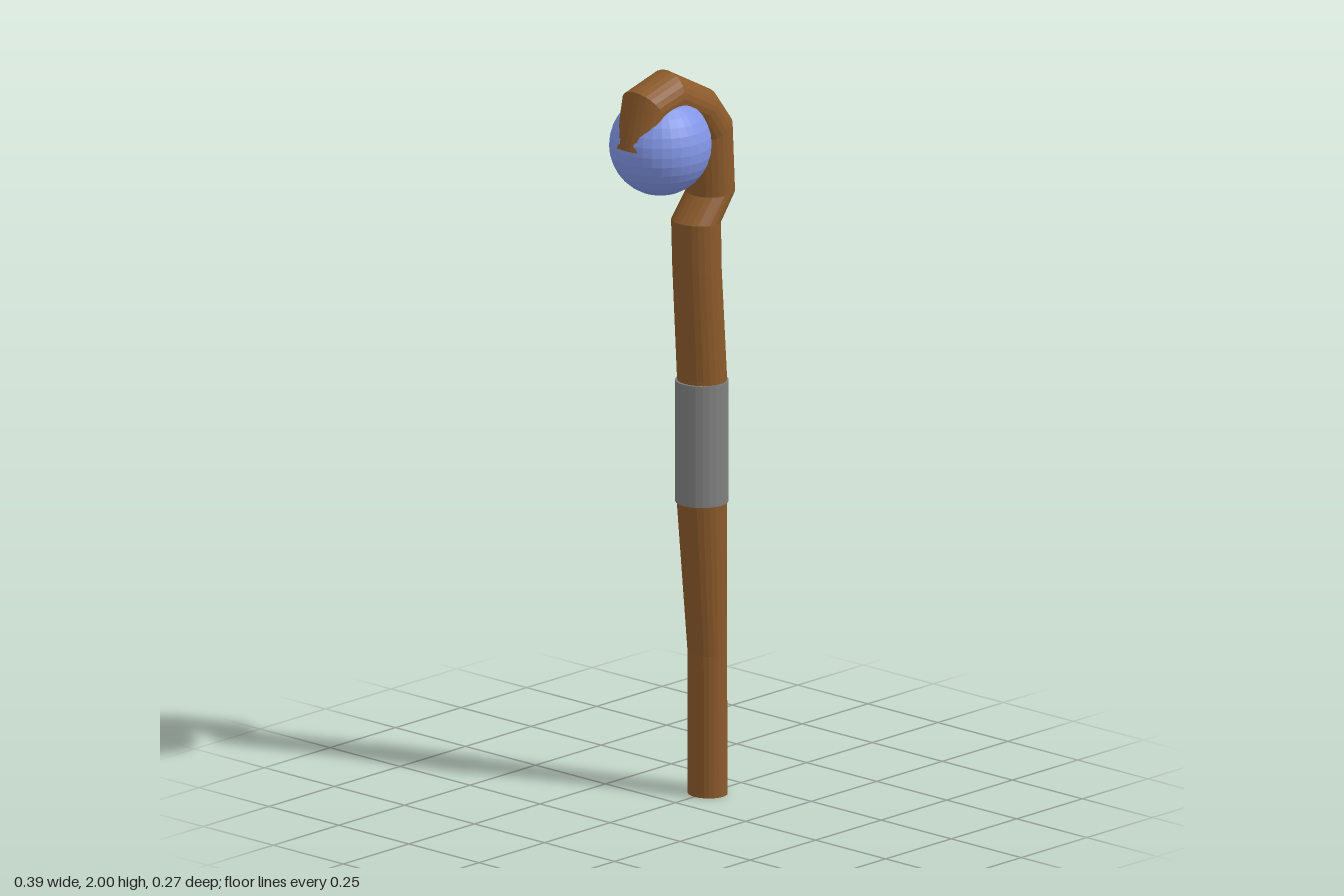
import * as THREE from 'three';

const SIDES = 24;

// Skins rings, each spanning inner point (ax, ay) to outer point (bx, by) with depth radius rz
function ringTube(rings) {
  const pos = [], index = [];
  for (const [ax, ay, bx, by, rz] of rings) {
    const cx = (ax + bx) / 2, cy = (ay + by) / 2;
    for (let i = 0; i < SIDES; i++) {
      const t = (i / SIDES) * Math.PI * 2, c = Math.cos(t) / 2;
      pos.push(cx + (bx - ax) * c, cy + (by - ay) * c, Math.sin(t) * rz);
    }
  }
  for (let r = 0; r < rings.length - 1; r++) {
    for (let i = 0; i < SIDES; i++) {
      const a = r * SIDES + i, b = r * SIDES + ((i + 1) % SIDES);
      index.push(a, a + SIDES, b, b, a + SIDES, b + SIDES);
    }
  }
  // End caps
  const last = (rings.length - 1) * SIDES;
  for (let i = 1; i < SIDES - 1; i++) {
    index.push(0, i, i + 1, last, last + i + 1, last + i);
  }
  const geo = new THREE.BufferGeometry();
  geo.setAttribute('position', new THREE.Float32BufferAttribute(pos, 3));
  geo.setIndex(index);
  geo.computeVertexNormals();
  return geo;
}

export function createModel() {
  const group = new THREE.Group();
  const add = (name, geometry, color) => {
    const mesh = new THREE.Mesh(geometry, new THREE.MeshStandardMaterial({ color, flatShading: true }));
    mesh.name = name;
    group.add(mesh);
    return mesh;
  };

  // Wooden shaft, kinked near the top and curling into a hook
  add('staff', ringTube([
    [0.072, 0, 0.172, 0, 0.054],
    [0.072, 0.385, 0.17, 0.385, 0.054],
    [0.036, 0.8, 0.164, 0.8, 0.067],
    [0.037, 1.14, 0.164, 1.14, 0.067],
    [0.02, 1.44, 0.143, 1.44, 0.067],
    [0.016, 1.57, 0.14, 1.565, 0.068],
    [0.072, 1.635, 0.193, 1.64, 0.068],
    [0.066, 1.785, 0.183, 1.835, 0.068],
    [0.035, 1.835, 0.118, 1.92, 0.068],
    [-0.04, 1.87, -0.033, 2.0, 0.068],
    [-0.09, 1.865, -0.155, 1.965, 0.068],
    [-0.1, 1.79, -0.195, 1.815, 0.062],
  ]), 0x8b5a2b);

  // Grip sleeve around the middle
  add('gripBand', new THREE.CylinderGeometry(0.07, 0.07, 0.33, SIDES), 0x808080)
    .position.set(0.1, 0.965, 0);

  // Orb held in the hook
  add('orb', new THREE.SphereGeometry(0.134, 32, 16), 0x8296e6)
    .position.set(-0.058, 1.803, 0);

  return group;
}
